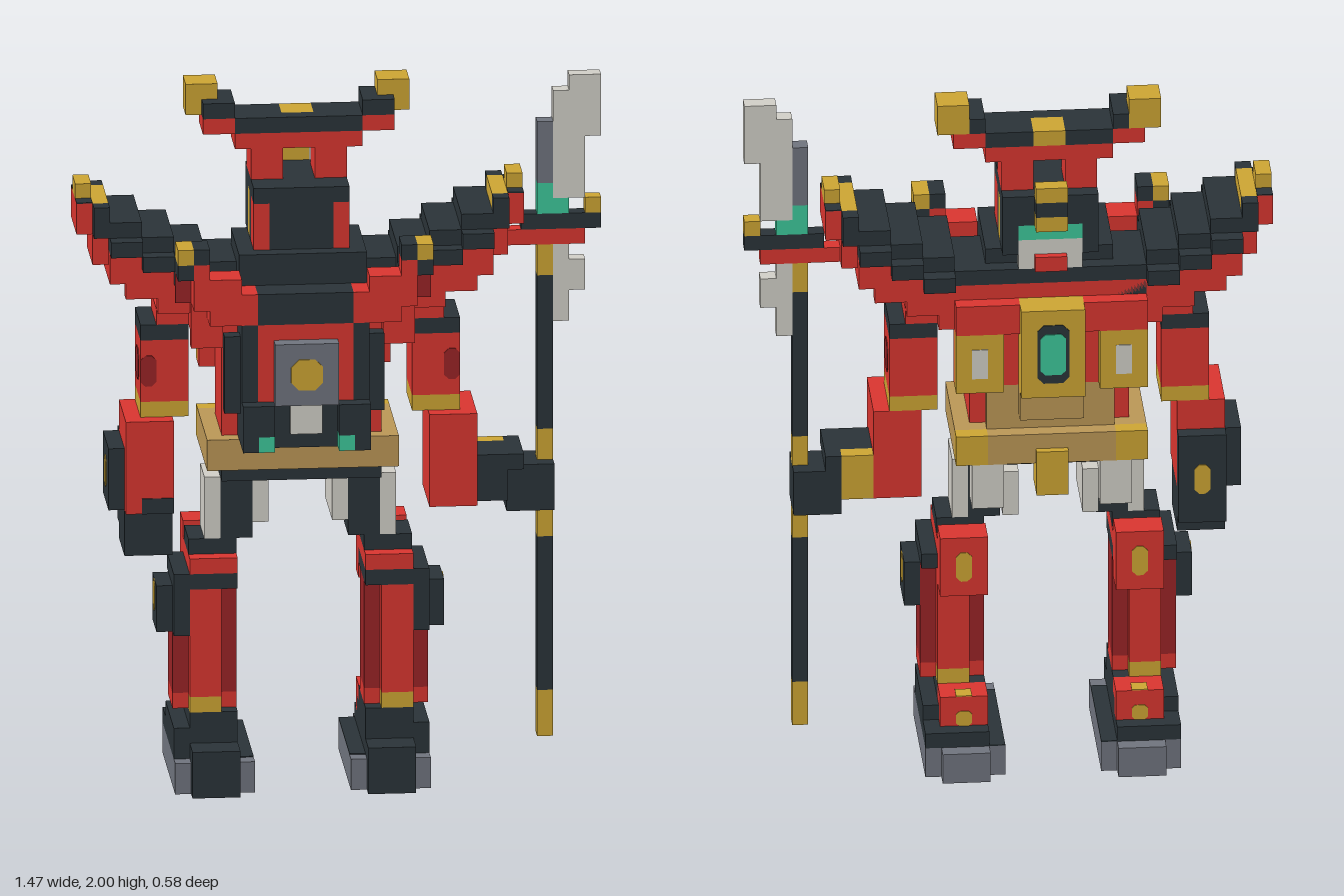
import * as THREE from 'three';

const U = 2 / 45; // size of one block
const colours = {
  red: 0xd8352f, darkRed: 0x982325, charcoal: 0x2a3338, gold: 0xcca433, tan: 0xba9656,
  steel: 0x6f737d, silver: 0xd0cec6, green: 0x3cc699,
};

// Thin plate with cut corners, facing along z, or along x when it is thinnest that way
function plateGeometry(w, h, d, cut) {
  const alongX = w < d;
  const a = (alongX ? d : w) / 2, b = h / 2, depth = alongX ? w : d;
  const outline = [[a, b - cut], [a - cut, b], [cut - a, b], [-a, b - cut],
    [-a, cut - b], [cut - a, -b], [a - cut, -b], [a, cut - b]];
  const shape = new THREE.Shape(outline.map(([x, y]) => new THREE.Vector2(x, y)));
  const geo = new THREE.ExtrudeGeometry(shape, { depth, bevelEnabled: false });
  geo.translate(0, 0, -depth / 2);
  return alongX ? geo.rotateY(Math.PI / 2) : geo;
}

export function createModel() {
  const model = new THREE.Group();
  model.name = 'armouredWarrior';
  const mats = {};
  for (const [name, color] of Object.entries(colours)) {
    mats[name] = new THREE.MeshStandardMaterial({ color });
    mats[name].name = name;
  }

  // Boxes are [colour, x0, x1, y0, y1, z0, z1, corner cut] in blocks, x measured from the body's middle.
  function part(name, boxes, sides = [1]) {
    for (const s of sides) {
      const group = new THREE.Group();
      group.name = sides.length > 1 ? (s > 0 ? 'left ' : 'right ') + name : name;
      for (const [mat, x0, x1, y0, y1, z0, z1, cut] of boxes) {
        const size = [(x1 - x0) * U, (y1 - y0) * U, (z1 - z0) * U];
        const geo = cut ? plateGeometry(...size, cut * U) : new THREE.BoxGeometry(...size);
        const mesh = new THREE.Mesh(geo, mats[mat]);
        mesh.position.set((s * (x0 + x1) / 2 - 2.5) * U, (y0 + y1) / 2 * U, ((z0 + z1) / 2 - 6.5) * U);
        mesh.name = `${group.name} ${mat}`;
        group.add(mesh);
      }
      model.add(group);
    }
  }
  const both = [1, -1];
  const t = 0.06; // thin painted plate

  part('foot', [
    ['steel', 3, 8, 0, 2, 1, 9],
    ['steel', 4, 7, 0, 2, 0, 1],
    ['steel', 3, 4, 0, 2, 9, 10],
    ['steel', 7, 8, 0, 2, 9, 10],
    ['charcoal', 3, 4, 2, 2 + t, 1, 9],
    ['charcoal', 4, 7, 0, 2, 9, 11],
    ['charcoal', 4, 7, 2, 3, 1, 11],
    ['charcoal', 7, 8, 2, 3, 1, 9],
    ['charcoal', 4, 8, 3, 4, 3, 9],
    ['charcoal', 4, 7, 4, 5, 4, 9],
    ['red', 4, 7, 3, 5, 2, 3],
    ['red', 4, 7, 4, 5, 3, 4],
    ['gold', 5, 6, 3, 4, 2 - t, 2, 0.2],
    ['gold', 5, 6, 5, 5 + t, 2, 3],
  ], both);

  part('shin', [
    ['darkRed', 4, 8, 6, 13, 5, 8],
    ['red', 5, 7, 6, 13, 8, 9],
    ['red', 5, 7, 6, 13, 4, 5],
    ['red', 4, 8, 5, 6, 5, 8],
    ['gold', 5, 7, 5, 6, 8, 9],
    ['gold', 5, 7, 5, 6, 4, 5],
    ['charcoal', 4, 8, 13, 14, 4, 9],
    ['red', 4, 7, 14, 15, 4, 9],
    ['charcoal', 4, 7, 15, 16, 5, 8],
    ['red', 4, 7, 12, 16, 2, 4],
    ['gold', 5, 6, 13, 15, 2 - t, 2, 0.3],
    ['charcoal', 8, 9, 10, 13, 5, 8],
    ['charcoal', 7, 8, 10, 13, 8, 9],
    ['gold', 9, 9 + t, 11, 13, 6, 7, 0.3],
  ], both);

  part('thigh', [
    ['charcoal', 3, 5, 16, 20, 5, 8],
    ['silver', 5, 6, 16, 20, 5, 8],
    ['silver', 2, 3, 17, 20, 3, 8],
    ['silver', 3, 5, 18, 21, 2, 4],
    ['charcoal', 4, 5, 20, 21, 4, 9],
  ], both);

  part('hips', [
    ['charcoal', -4, 4, 20, 21, 4, 9],
    ['tan', -6, 6, 21, 23, 3, 10],
    ['tan', -4, 4, 21, 23, 2, 3],
    ['gold', -1, 1, 19, 22, 1.5, 2],
    ['gold', -1, 1, 19, 21, 2, 4],
    ['gold', -6, -4, 21, 23, 2, 3],
    ['gold', 4, 6, 21, 23, 2, 3],
  ]);

  part('torso', [
    ['red', -5, 5, 23, 30, 4, 9],
    ['red', -6, 6, 30, 33, 3, 9],
    ['tan', -4, 4, 23, 26, 3, 4],
    ['tan', -2, 2, 24, 26, 2, 3],
    ['red', -6, 6, 26, 30, 3, 4],
    ['gold', -2, 2, 26, 32, 1, 3],
    ['charcoal', -1, 1, 27, 31, 1 - t, 1, 0.4],
    ['green', -0.8, 0.8, 27.6, 30.4, 1 - 2 * t, 1 - t, 0.3],
  ]);
  part('chest panel', [
    ['red', 2, 6, 30, 32, 2, 3],
    ['gold', 3, 6, 26, 30, 2, 3],
    ['silver', 4, 5, 27, 29, 2 - t, 2],
  ], both);

  part('backpack', [
    ['charcoal', -4, 4, 23, 31, 9, 11],
    ['charcoal', -3, 3, 23, 26, 11, 12],
    ['red', -3, 3, 26, 31, 11, 12],
    ['steel', -2, 2, 26, 30, 12, 13],
    ['gold', -1, 1, 27, 29, 13, 13 + t, 0.5],
    ['silver', -1, 1, 24, 26, 12, 12.5],
    ['charcoal', -3, 3, 31, 33, 9, 12],
  ]);
  part('backpack side', [
    ['charcoal', 2, 4, 24, 26, 12, 13],
    ['charcoal', 3, 4, 23, 24, 12, 13],
    ['charcoal', 3, 4, 23, 31, 11, 12],
    ['charcoal', 4, 5, 25, 30, 10, 11],
    ['green', 2, 3, 23, 24, 12, 13],
  ], both);

  // Stepped shoulder wings with a dark hollow underneath: [x0, x1, top of dark plate, plate front]
  const steps = [[4, 6, 34, 8], [6, 8, 35, 10], [8, 10, 36, 10], [10, 12, 37, 10]];
  part('shoulder wing', steps.flatMap(([x0, x1, top, front]) => [
    ['charcoal', x0, x1, top - 1, top, 3, Math.min(front, 9)],
    ['charcoal', x0, x1, top - 2, top - 1, x0 > 4 ? 2 : 3, front],
    ['darkRed', x0, Math.min(x1, 11), top - 4, top - 2, 4, 8],
    ...[3, 8].flatMap((z) => [
      ['red', x0, x1, top - 4, top - 2, z, z + 1],
      ['red', x0, x1 - 1, top - 5, top - 4, z, z + 1],
    ]),
  ]).concat([
    ['red', 11, 12, 33, 35, 4, 8],
    ['darkRed', 7, 8, 32, 34, 10, 10 + t],
    ['charcoal', 12, 13, 36, 37, 3, 9],
    ['charcoal', 12, 13, 37, 38, 8, 9],
    ['charcoal', 12, 13, 37, 38, 3, 4],
    ['gold', 12, 13, 37, 38, 4, 8],
    ['red', 12, 13, 34, 36, 4, 8],
    ['red', 13, 14, 36, 38, 4, 8],
    ['charcoal', 13, 14, 38, 38 + t, 4, 5],
    ['charcoal', 13, 14, 38, 38 + t, 7, 8],
    ['gold', 13, 14, 38, 39, 5, 7],
  ]), both);

  part('shoulder strap', [
    ['gold', 7, 8, 35, 36, 10, 12],
    ['charcoal', 7, 8, 34, 35, 10, 12],
    ['charcoal', 6, 7, 35, 36, 10, 12],
    ['red', 6, 7, 32, 35, 10, 12],
    ['red', 4, 6, 31, 34, 10, 12],
    ['red', 3, 4, 31, 33, 10, 12],
    ['red', 5, 7, 29, 32, 9, 10],
  ], both);

  part('collar', [
    ['charcoal', -4, 4, 33, 34, 3, 10],
    ['charcoal', -4, 4, 34, 35, 4, 10],
  ]);

  part('head', [
    ['charcoal', -2, 2, 35, 38, 4, 9],
    ['charcoal', -3, 3, 38, 39, 3, 9],
    ['charcoal', -2, 2, 37, 38, 3, 4],
    ['green', -2, 2, 36, 37, 3, 4],
    ['silver', -2, 2, 34, 36, 3, 4],
    ['red', -1, 1, 34, 35, 2.5, 3],
    ['gold', -1, 1, 37, 38, 2, 3],
    ['charcoal', -1, 1, 38, 39, 2, 3],
    ['gold', -1, 1, 39, 40, 2, 3],
  ]);
  part('cheek guard', [
    ['red', 2, 3, 35, 38, 7, 9],
    ['charcoal', 2, 3, 35, 38, 6, 7],
    ['gold', 2, 3, 35, 38, 5, 6],
    ['charcoal', 2, 3, 35, 38, 3, 5],
  ], both);

  part('crest', [
    ['red', -4, 4, 41, 42, 4, 7],
    ['charcoal', -4, -1, 42, 43, 4, 7],
    ['charcoal', 1, 4, 42, 43, 4, 7],
    ['charcoal', -1, 1, 42, 43, 6, 7],
    ['gold', -1, 1, 42, 43, 4, 6],
  ]);
  part('crest horn', [
    ['red', 1, 3, 39, 41, 4, 7],
    ['red', 4, 6, 42, 43, 4, 7],
    ['charcoal', 4, 5, 43, 44, 4, 7],
    ['charcoal', 5, 6, 43, 44, 6, 7],
    ['gold', 5, 7, 43, 45, 4, 6],
  ], both);

  part('arm', [
    ['red', 7, 9, 30, 31, 4, 8],
    ['charcoal', 7, 10, 29, 30, 4, 8],
    ['red', 7, 10, 25, 29, 4, 8],
    ['darkRed', 9, 10, 26, 28, 8, 8 + t, 0.3],
    ['darkRed', 10, 10 + t, 26, 28, 5, 7, 0.5],
    ['gold', 7, 10, 24, 25, 4, 8],
    ['red', 8, 11, 18, 24, 4, 9],
  ], both);

  part('lowered hand', [
    ['charcoal', 8, 11, 15, 18, 4, 8],
    ['charcoal', 8, 10, 18, 19, 9, 9 + t],
    ['charcoal', 11, 12, 18, 22, 4, 8],
    ['charcoal', 8, 11, 16, 22, 3, 4],
    ['gold', 12, 12 + t, 19, 21, 5.5, 6.5, 0.3],
    ['gold', 9, 10, 18, 20, 3 - t, 3, 0.3],
  ], [-1]);

  part('gripping hand', [
    ['charcoal', 11, 13, 18, 21, 5, 8],
    ['gold', 11, 13, 18, 21, 4, 5],
    ['charcoal', 13, 14, 20, 21, 4, 8],
    ['charcoal', 13, 16, 17, 20, 4, 7],
  ]);

  // Polearm
  part('polearm shaft', [[2, 5, 'gold'], [5, 15, 'charcoal'], [15, 17, 'gold'], [20, 22, 'gold'],
    [22, 32, 'charcoal'], [32, 34, 'gold']].map(([y0, y1, mat]) => [mat, 15, 16, y0, y1, 5, 6]));
  part('polearm guard', [
    ['red', 13, 18, 34, 35, 5, 6],
    ['charcoal', 14, 19, 35, 36, 5, 6],
    ['gold', 18, 19, 36, 37, 5, 6],
    ['green', 15, 16, 36, 38, 5, 6],
    ['green', 16, 17, 36, 37, 5, 6],
  ]);
  part('polearm blade', [
    ['steel', 15, 16, 38, 42, 5, 6],
    ['silver', 16, 17, 37, 44, 5, 6],
    ['silver', 17, 18, 37, 45, 5, 6],
    ['silver', 18, 19, 41, 45, 5, 6],
    ['silver', 16, 17, 29, 34, 5, 6],
    ['silver', 17, 18, 31, 33, 5, 6],
  ]);

  return model;
}
